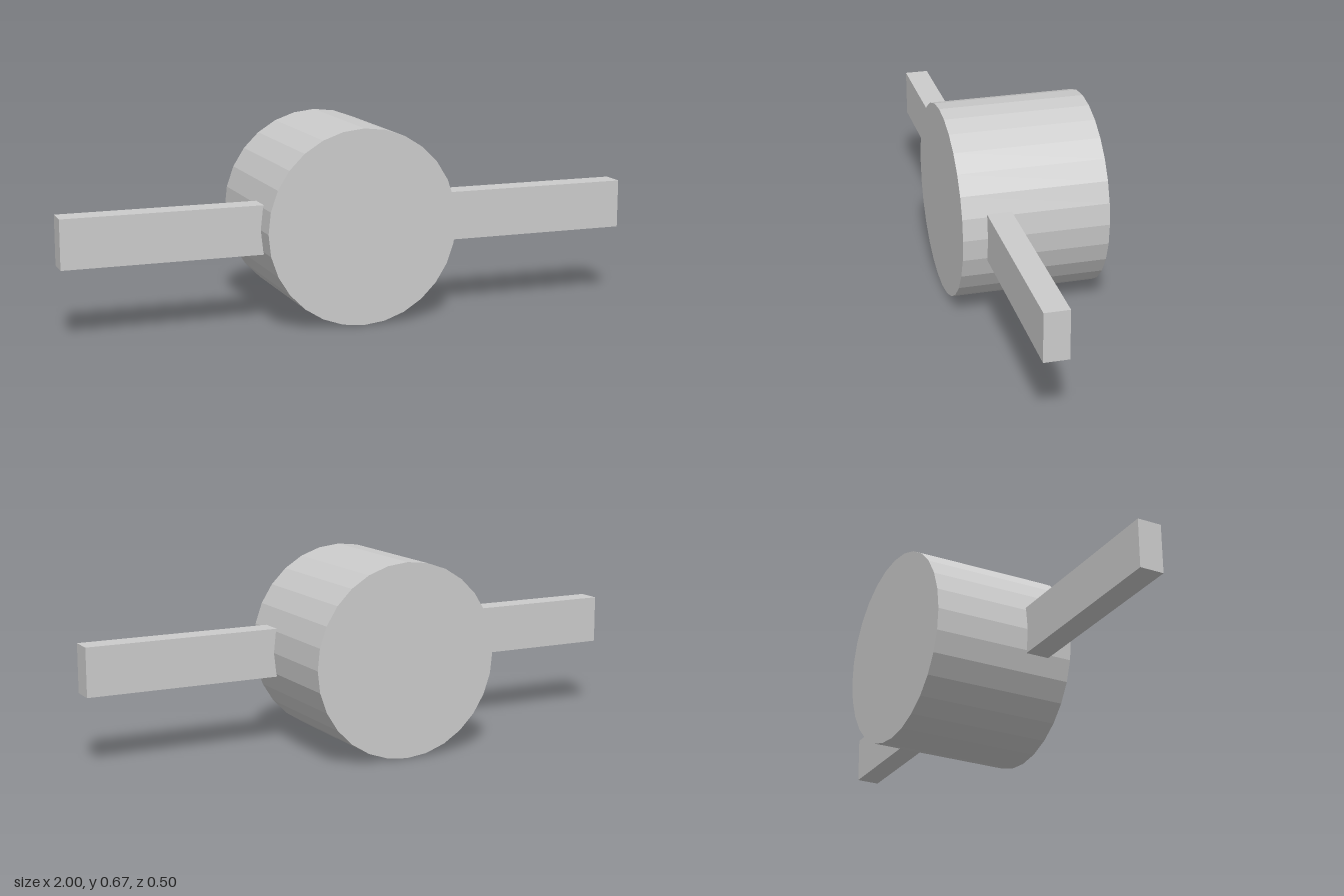
import * as THREE from 'three';

const R = 1 / 3; // drum radius

export function createModel() {
  const model = new THREE.Group();
  const material = new THREE.MeshStandardMaterial({ color: 0xcccccc, flatShading: true });

  // Faceted drum lying along z
  const drumGeometry = new THREE.CylinderGeometry(R, R, 0.5, 28);
  drumGeometry.rotateX(Math.PI / 2);
  const drum = new THREE.Mesh(drumGeometry, material);
  drum.name = 'drum';
  drum.position.y = R;
  model.add(drum);

  // One flat bar on each side, rooted just inside the drum wall
  const inner = 0.317;
  for (const [name, side] of [['leftBar', 1], ['rightBar', -1]]) {
    const bar = new THREE.Mesh(new THREE.BoxGeometry(1 - inner, 1 / 6, 1 / 12), material);
    bar.name = name;
    bar.position.set(side * (1 + inner) / 2, R, 0.125);
    model.add(bar);
  }
  return model;
}
